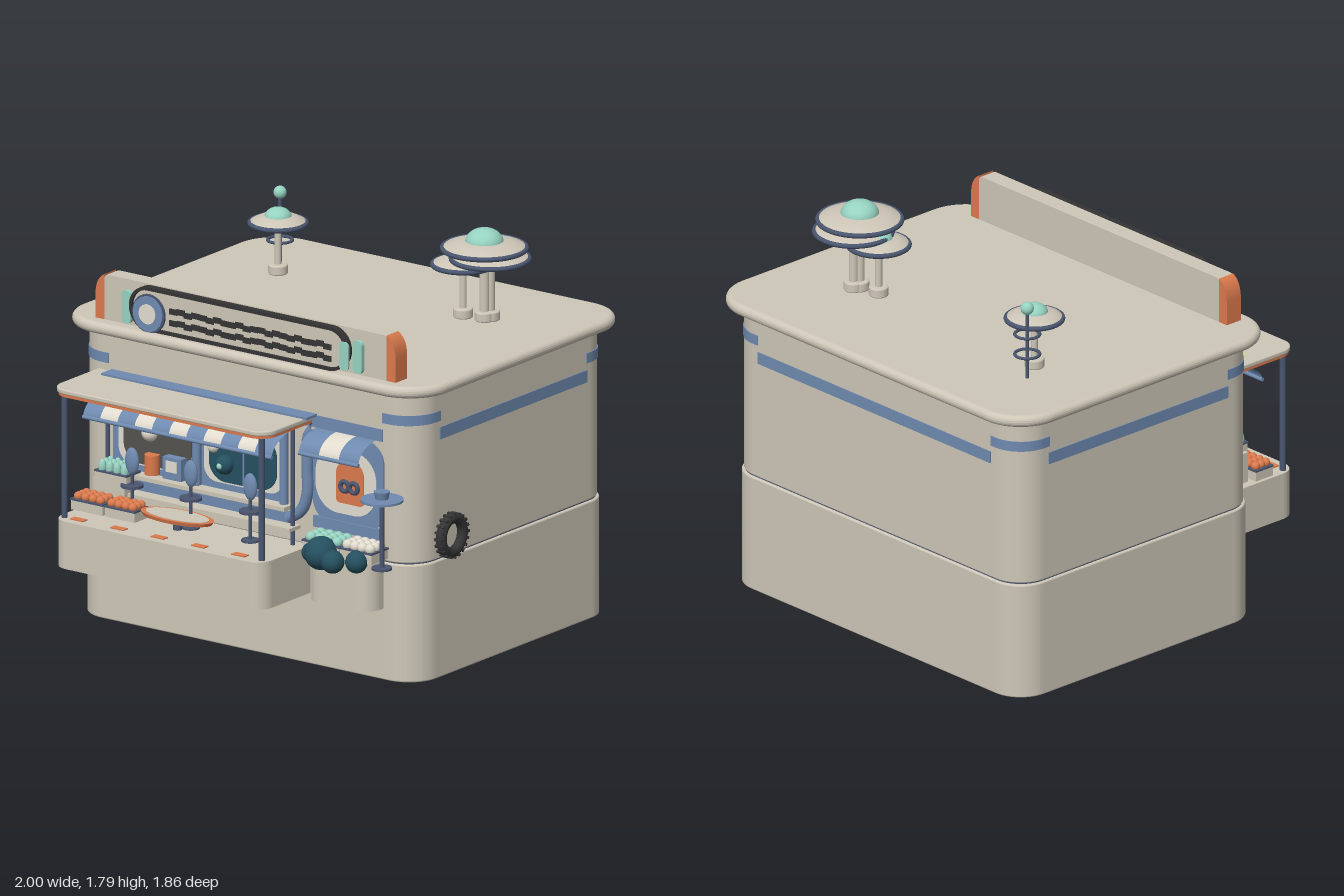
import * as THREE from 'three';

const mat = (name, color, side = THREE.FrontSide) => {
  const m = new THREE.MeshStandardMaterial({ color, side });
  m.name = name;
  return m;
};
const M = {
  beige: mat('warm beige', 0xcec7b8), cream: mat('cream', 0xe2dccf), blue: mat('dusty blue', 0x6f8ab0, THREE.DoubleSide),
  navy: mat('slate navy', 0x4a5670), mint: mat('mint', 0x97d3c1), orange: mat('orange', 0xdb7a4d),
  black: mat('charcoal', 0x343434), teal: mat('deep teal', 0x25505f), smoke: mat('smoked glass', 0x55524f),
};
const CREAM_SHEET = mat('cream', 0xe2dccf, THREE.DoubleSide);

// Rounded rectangle; r is one radius or [bottom, top]
function rr(cx, cy, w, h, r) {
  const [b, t] = Array.isArray(r) ? r : [r, r];
  const x0 = cx - w / 2, x1 = cx + w / 2, y0 = cy - h / 2, y1 = cy + h / 2, s = new THREE.Shape();
  s.moveTo(x0 + b, y0).lineTo(x1 - b, y0);
  if (b) s.absarc(x1 - b, y0 + b, b, -Math.PI / 2, 0);
  s.lineTo(x1, y1 - t);
  if (t) s.absarc(x1 - t, y1 - t, t, 0, Math.PI / 2);
  s.lineTo(x0 + t, y1);
  if (t) s.absarc(x0 + t, y1 - t, t, Math.PI / 2, Math.PI);
  s.lineTo(x0, y0 + b);
  if (b) s.absarc(x0 + b, y0 + b, b, Math.PI, Math.PI * 1.5);
  return s;
}

export function createModel() {
  const root = new THREE.Group();
  root.name = 'cornerShop';
  const add = (name, geo, m, x = 0, y = 0, z = 0, parent = root) => {
    const o = new THREE.Mesh(geo, m);
    o.name = name;
    o.position.set(x, y, z);
    parent.add(o);
    return o;
  };
  const box = (name, m, x, y, z, w, h, d) => add(name, new THREE.BoxGeometry(w, h, d), m, x, y, z);
  const ball = (name, m, x, y, z, r) => add(name, new THREE.SphereGeometry(r, 20, 14), m, x, y, z);
  const rod = (name, m, x, z, y0, y1, r, r2 = r) =>
    add(name, new THREE.CylinderGeometry(r2, r, y1 - y0, 24), m, x, (y0 + y1) / 2, z);
  // Upright plate facing the front, from z0 to z0 + d
  const plate = (name, m, shape, z0, d = 0.008) =>
    add(name, new THREE.ExtrudeGeometry(shape, { depth: d, bevelEnabled: false, curveSegments: 16 }), m, 0, 0, z0);
  // Horizontal slab with rounded plan, spanning z0..z1
  const slab = (name, m, x0, x1, z0, z1, y0, y1, r, bevel = 0) => {
    const s = rr((x0 + x1) / 2, -(z0 + z1) / 2, x1 - x0 - 2 * bevel, z1 - z0 - 2 * bevel, r - bevel);
    const g = new THREE.ExtrudeGeometry(s, { depth: y1 - y0 - 2 * bevel, bevelEnabled: bevel > 0,
      bevelSize: bevel, bevelThickness: bevel, bevelSegments: 5, curveSegments: 16 });
    return add(name, g.rotateX(-Math.PI / 2), m, 0, y0 + bevel, 0);
  };

  // Building shell
  slab('base', M.beige, -0.933, 0.933, -0.863, 0.573, 0, 0.537, 0.15, 0.008);
  slab('seam', M.navy, -0.92, 0.92, -0.85, 0.56, 0.53, 0.55, 0.14);
  slab('upperWalls', M.beige, -0.926, 0.926, -0.856, 0.567, 0.542, 1.32, 0.15, 0.006);
  slab('roofSlab', M.beige, -1, 1, -0.93, 0.635, 1.312, 1.366, 0.21, 0.026);

  // Wall bands: raised corners, lower runs between them
  const corner = new THREE.Shape();
  corner.moveTo(-0.03, -0.03).lineTo(0.154, -0.03).lineTo(0.154, 0);
  corner.absarc(0, 0, 0.154, 0, Math.PI / 2);
  corner.lineTo(-0.03, 0.154);
  const cornerGeo = new THREE.ExtrudeGeometry(corner, { depth: 0.046, bevelEnabled: false, curveSegments: 16 }).rotateX(-Math.PI / 2);
  [[0.776, -0.706], [-0.776, -0.706], [-0.776, 0.417], [0.776, 0.417]].forEach(([x, z], i) => {
    add('cornerBand', cornerGeo, M.blue, x, 1.17, z).rotation.y = i * Math.PI / 2;
  });
  for (const s of [1, -1]) box('sideBand', M.blue, s * 0.926, 1.112, -0.145, 0.008, 0.055, 1.07);
  box('backBand', M.blue, 0, 1.112, -0.856, 1.49, 0.055, 0.008);
  box('frontBand', M.blue, 0.01, 1.112, 0.568, 1.48, 0.055, 0.01);

  // Roof sign
  plate('signBoard', M.beige, rr(0, 1.465, 1.54, 0.215, [0, 0.02]), 0.485, 0.082);
  for (const s of [1, -1]) {
    const e = new THREE.Shape();
    e.moveTo(0, 0).lineTo(s * 0.05, 0).lineTo(s * 0.05, 0.11);
    e.quadraticCurveTo(s * 0.05, 0.19, 0, 0.215);
    add('signEnd', new THREE.ExtrudeGeometry(e, { depth: 0.084, bevelEnabled: false }), M.orange, s * 0.769, 1.358, 0.484);
    plate('signLight', M.mint, rr(s * 0.63 - 0.008, 1.45, 0.05, 0.15, 0.022), 0.567, 0.02);
  }
  plate('signLight', M.mint, rr(0.565, 1.45, 0.05, 0.13, 0.02), 0.6, 0.008);
  const rim = rr(-0.015, 1.468, 1.19, 0.2, 0.099);
  rim.holes.push(rr(-0.015, 1.468, 1.16, 0.17, 0.084));
  plate('signRim', M.black, rim, 0.567, 0.036);
  plate('signPanel', M.beige, rr(-0.015, 1.468, 1.16, 0.17, 0.084), 0.567, 0.024);
  for (const y of [1.424, 1.477]) {
    for (let i = 0; i < 22; i++)
      box('signStripe', M.black, -0.375 + i * 0.04, y + 0.005 * Math.sin(i * 2.3), 0.593, 0.042, 0.026, 0.006);
  }
  const badge = (name, m, r, z) => add(name, new THREE.CylinderGeometry(r, r, 0.01, 32).rotateX(Math.PI / 2), m, -0.5, 1.45, z);
  badge('badgeRim', M.navy, 0.088, 0.604);
  badge('badge', M.blue, 0.08, 0.61);
  badge('badgeCentre', M.cream, 0.045, 0.615);

  // Saucers on the roof
  const saucer = (name, x, y, z, R, dome) => {
    const g = new THREE.Group();
    g.name = name;
    g.position.set(x, y, z);
    root.add(g);
    const pts = [[0, -0.03], [0.5, -0.024], [0.96, -0.006], [0.96, 0.006], [0.6, 0.03], [0, 0.04]].map(([a, b]) => new THREE.Vector2(a * R, b));
    add('saucerBody', new THREE.LatheGeometry(pts, 48), M.beige, 0, 0, 0, g);
    add('saucerRim', new THREE.TorusGeometry(R - 0.011, 0.011, 10, 48).rotateX(Math.PI / 2), M.navy, 0, 0, 0, g);
    if (dome) add('saucerDome', new THREE.SphereGeometry(dome, 28, 10, 0, Math.PI * 2, 0, Math.PI / 2).scale(1, 0.75, 1), M.mint, 0, 0.026, 0, g);
    rod('saucerPost', M.beige, x, z, 1.36, y - 0.02, R * 0.11);
    slab('saucerFoot', M.beige, x - 0.043, x + 0.043, z - 0.043, z + 0.043, 1.364, 1.41, 0.042, 0.008);
  };
  saucer('topSaucer', 0.567, 1.697, -0.415, 0.195, 0.085);
  saucer('middleSaucer', 0.58, 1.645, -0.44, 0.182, 0);
  saucer('lowSaucer', 0.462, 1.607, -0.4, 0.145, 0.062);
  saucer('leftSaucer', -0.575, 1.597, -0.437, 0.135, 0.06);
  // Aerial with rings
  rod('aerial', M.navy, -0.645, -0.545, 1.36, 1.68, 0.008);
  ball('aerialTip', M.mint, -0.645, 1.697, -0.545, 0.029);
  for (const y of [1.48, 1.575])
    add('aerialRing', new THREE.TorusGeometry(0.055, 0.007, 8, 32).rotateX(Math.PI / 2), M.navy, -0.645, y, -0.545);

  // Terrace and canopy
  slab('terrace', M.beige, -0.787, 0.358, 0.4, 0.932, 0.325, 0.541, 0.08);
  for (let i = 0; i < 5; i++) box('floorMark', M.orange, -0.68 + i * 0.22, 0.543, 0.875, 0.07, 0.006, 0.035);
  slab('canopyEdge', M.orange, -0.8, 0.365, 0.42, 0.915, 1.102, 1.117, 0.08);
  slab('canopy', M.beige, -0.806, 0.372, 0.42, 0.92, 1.115, 1.137, 0.08, 0.006);
  box('canopyRail', M.blue, -0.17, 1.14, 0.605, 1.12, 0.012, 0.08);
  for (const x of [-0.755, 0.32]) {
    rod('canopyPost', M.navy, x, 0.878, 0.54, 1.105, 0.014);
    rod('wallPost', M.navy, x + (x < 0 ? 0.035 : -0.03), 0.61, 0.54, 1.105, 0.01);
  }

  // Striped awnings: thin curved strips
  const awning = (x0, x1, n, yTop, yLow, zOut) => {
    for (let i = 0; i < n; i++) {
      const w = (x1 - x0) / n, g = new THREE.PlaneGeometry(w, 1, 1, 10), p = g.attributes.position;
      for (let k = 0; k < p.count; k++) {
        const a = (0.5 - p.getY(k)) * Math.PI / 2;
        p.setY(k, yLow + (yTop - yLow) * Math.cos(a));
        p.setZ(k, 0.566 + (zOut - 0.566) * Math.sin(a));
      }
      g.computeVertexNormals();
      add('awningStripe', g, i % 2 ? CREAM_SHEET : M.blue, x0 + w * (i + 0.5));
    }
    rod('awningBar', M.blue, 0, 0, x0, x1, 0.009).rotation.z = -Math.PI / 2;
    root.children.at(-1).position.set((x0 + x1) / 2, yLow, zOut);
  };
  awning(-0.72, 0.31, 11, 1.085, 0.985, 0.79);
  awning(0.39, 0.715, 3, 1.085, 1.0, 0.7);

  // Shop front: blue surround, rimmed windows, door
  plate('windowSurround', M.blue, rr(-0.245, 0.855, 0.95, 0.45, 0.07), 0.564);
  for (const [x, glass] of [[-0.47, M.smoke], [-0.005, M.teal]]) {
    plate('windowRim', M.cream, rr(x, 0.87, 0.43, 0.26, 0.07), 0.57);
    plate('windowGlass', glass, rr(x, 0.87, 0.37, 0.245, 0.09), 0.574);
  }
  box('mullion', M.blue, 0, 0.87, 0.583, 0.008, 0.24, 0.006);
  for (const x of [-0.255, 0.22]) rod('windowPillar', M.blue, x, 0.583, 0.68, 1.05, 0.02);
  ball('windowLamp', M.cream, -0.51, 0.9, 0.58, 0.04);
  ball('windowLamp', M.cream, -0.165, 0.9, 0.58, 0.028);
  ball('windowOrb', M.teal, -0.1, 0.83, 0.585, 0.045);
  ball('windowOrbEye', M.mint, -0.1, 0.83, 0.622, 0.015);
  plate('doorSurround', M.blue, rr(0.565, 0.87, 0.385, 0.41, 0.1), 0.564, 0.012);
  plate('doorRim', M.cream, rr(0.555, 0.865, 0.33, 0.29, 0.12), 0.571);
  plate('door', M.orange, rr(0.58, 0.87, 0.15, 0.2, [0.02, 0.07]), 0.576);
  for (const x of [0.555, 0.605])
    add('doorPorthole', new THREE.TorusGeometry(0.022, 0.011, 8, 24), M.navy, x, 0.85, 0.588);
  const pipe = new THREE.CatmullRomCurve3([[0.39, 1.09], [0.355, 1.04], [0.35, 0.9], [0.35, 0.78], [0.32, 0.7], [0.25, 0.65]]
    .map(([x, y]) => new THREE.Vector3(x, y, 0.585)));
  add('wallPipe', new THREE.TubeGeometry(pipe, 40, 0.026, 12), M.blue);
  box('doorLedge', M.blue, 0.56, 0.66, 0.575, 0.36, 0.05, 0.02);

  // Counter and seating
  box('counterShelf', M.beige, -0.2, 0.7, 0.6, 0.92, 0.018, 0.07);
  box('counterKick', M.blue, -0.2, 0.65, 0.58, 0.9, 0.05, 0.02);
  box('counterLow', M.beige, -0.2, 0.62, 0.62, 1.02, 0.016, 0.08);
  add('tableTop', new THREE.CylinderGeometry(0.19, 0.18, 0.016, 40).scale(1, 1, 0.45), M.orange, -0.25, 0.597, 0.73);
  add('tableInlay', new THREE.CylinderGeometry(0.165, 0.165, 0.006, 40).scale(1, 1, 0.42), M.beige, -0.25, 0.605, 0.73);
  rod('tableLeg', M.navy, -0.25, 0.73, 0.54, 0.59, 0.02);
  for (const x of [-0.535, -0.215, 0.11]) {
    rod('stoolPost', M.navy, x, 0.68, 0.54, 0.76, 0.008);
    rod('stoolSeat', M.navy, x, 0.68, 0.672, 0.684, 0.05);
    rod('stoolFoot', M.navy, x, 0.68, 0.54, 0.55, 0.04);
    ball('stoolBack', M.blue, x, 0.79, 0.68, 0.036).scale.set(1, 1.7, 0.5);
  }
  rod('smallMachine', M.orange, -0.485, 0.6, 0.72, 0.81, 0.035);
  box('smallCabinet', M.blue, -0.36, 0.77, 0.6, 0.1, 0.1, 0.05);
  box('cabinetScreen', M.cream, -0.36, 0.78, 0.627, 0.06, 0.05, 0.006);

  // Crates of goods
  const crate = (x, y, z, w, d, m, r, tall) => {
    box('crate', M.beige, x, y, z, w, 0.05, d);
    box('crateTrim', M.navy, x, y + 0.022, z, w + 0.006, 0.008, d + 0.006);
    for (let i = 0; i < 4; i++) for (let j = 0; j < 3; j++)
      ball('goods', m, x + (i - 1.5) * w / 4.2, y + 0.036, z + (j - 1) * d / 3.4, r).scale.y = tall;
  };
  box('crateStand', M.beige, -0.66, 0.61, 0.64, 0.17, 0.14, 0.08);
  crate(-0.64, 0.695, 0.645, 0.17, 0.1, M.mint, 0.018, 2);
  crate(-0.7, 0.575, 0.74, 0.17, 0.1, M.orange, 0.02, 1);
  crate(-0.52, 0.575, 0.74, 0.16, 0.1, M.orange, 0.02, 1);

  // Planter with goods beside the terrace
  slab('planter', M.beige, 0.397, 0.755, 0.45, 0.672, 0.325, 0.543, 0.08);
  crate(0.51, 0.585, 0.64, 0.2, 0.12, M.mint, 0.024, 1);
  crate(0.7, 0.585, 0.64, 0.17, 0.12, M.cream, 0.024, 1);
  for (const [x, y, z, r] of [[0.53, 0.575, 0.725, 0.075], [0.63, 0.565, 0.775, 0.052], [0.715, 0.565, 0.715, 0.05], [0.46, 0.56, 0.7, 0.045]])
    ball('melon', M.teal, x, y, z, r);

  // Lamp post
  rod('lampPost', M.navy, 0.82, 0.67, 0.54, 0.86, 0.011);
  rod('lampFoot', M.navy, 0.82, 0.67, 0.54, 0.55, 0.045);
  rod('lampBrim', M.blue, 0.82, 0.67, 0.852, 0.862, 0.095);
  rod('lampCap', M.blue, 0.82, 0.67, 0.86, 0.896, 0.028, 0.036);

  // Tyre on the left wall
  add('tyre', new THREE.TorusGeometry(0.077, 0.024, 14, 40).rotateY(Math.PI / 2), M.black, 0.955, 0.64, 0.34);
  for (let i = 0; i < 20; i++) {
    const a = i * Math.PI / 10;
    const t = box('tyreTread', M.black, 0.955, 0.64 + 0.098 * Math.sin(a), 0.34 + 0.098 * Math.cos(a), 0.042, 0.012, 0.01);
    t.rotation.x = -a;
  }
  return root;
}
